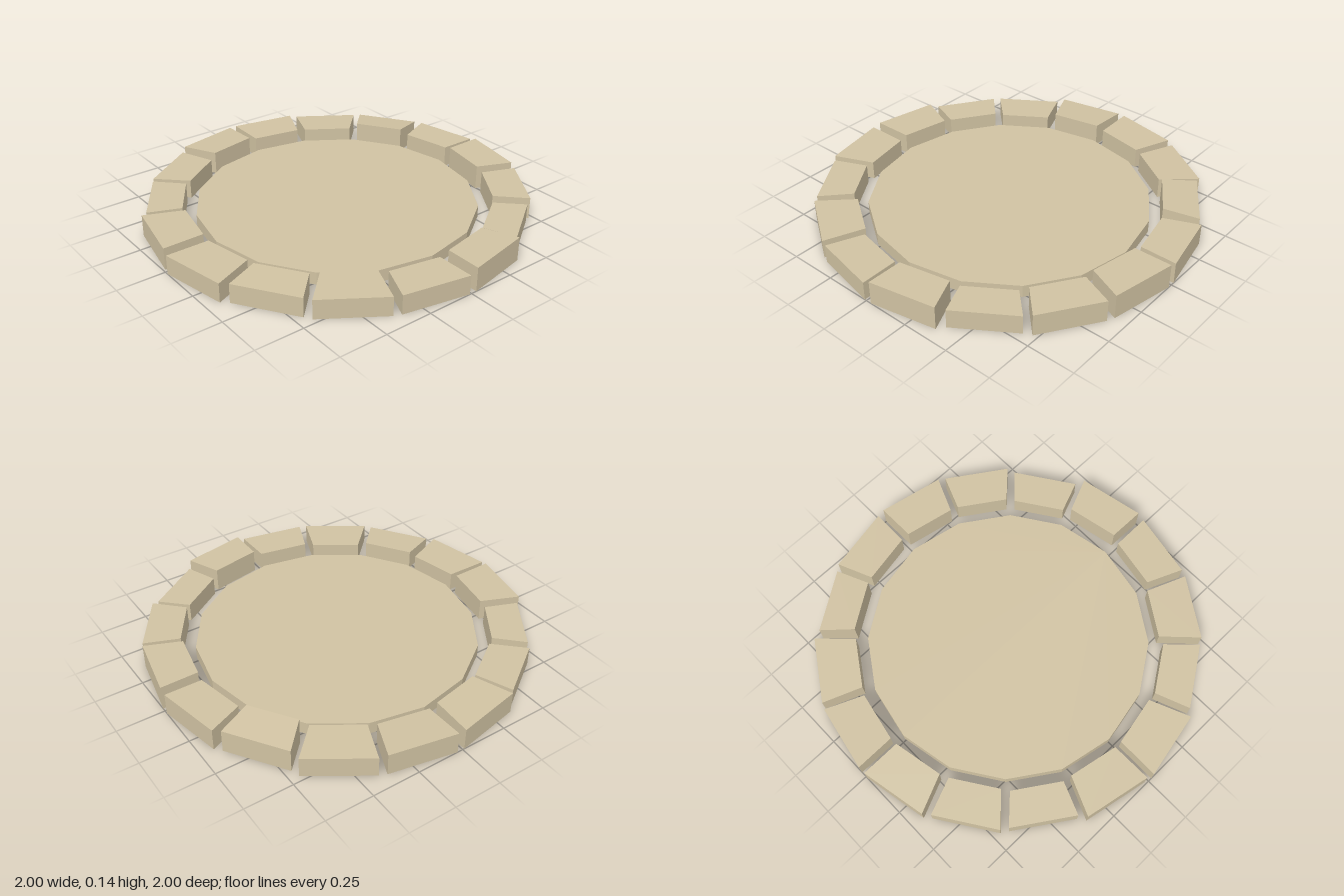
import * as THREE from 'three';

// Stones counter-clockwise from the left side (+x) towards the back:
// [outer radius, inner radius, outer height, inner height]
const STONES = [
  [1.0, 0.81, 0.125, 0.125], [0.975, 0.8, 0.1, 0.1], [0.99, 0.8, 0.115, 0.115], [0.99, 0.79, 0.13, 0.13],
  [0.99, 0.795, 0.115, 0.115], [0.975, 0.79, 0.12, 0.14], [1.0, 0.785, 0.105, 0.11], [1.0, 0.79, 0.115, 0.11],
  [1.0, 0.79, 0.115, 0.125], [0.985, 0.785, 0.1, 0.1], [0.975, 0.795, 0.105, 0.105], [1.0, 0.785, 0.115, 0.115],
  [1.01, 0.785, 0.1, 0.1], [0.99, 0.8, 0.1, 0.105], [1.0, 0.78, 0.1, 0.1], [1.0, 0.8, 0.1, 0.1],
];
const CENTRE_Z = -0.01;

// Point on the ring; angle runs from +x towards -z
const polar = (r, a, y) => new THREE.Vector3(r * Math.cos(a), y, CENTRE_Z - r * Math.sin(a));

// Flat-faced shell, open underneath: a lid over the outline and walls down to y = 0
function shell(outline) {
  const pos = [];
  const tri = (...pts) => pts.forEach((p) => pos.push(p.x, p.y, p.z));
  const n = outline.length;
  for (let i = 1; i < n - 1; i++) tri(outline[0], outline[i], outline[i + 1]);
  for (let i = 0; i < n; i++) {
    const a = outline[i], b = outline[(i + 1) % n];
    const a0 = a.clone().setY(0), b0 = b.clone().setY(0);
    tri(a0, b0, b);
    tri(a0, b, a);
  }
  const geo = new THREE.BufferGeometry();
  geo.setAttribute('position', new THREE.Float32BufferAttribute(pos, 3));
  geo.computeVertexNormals();
  return geo;
}

export function createModel() {
  const model = new THREE.Group();
  model.name = 'stoneCircle';
  const stone = new THREE.MeshStandardMaterial({ color: 0xd0c2a2, side: THREE.DoubleSide, flatShading: true });
  stone.name = 'sandstone';
  const step = (Math.PI * 2) / STONES.length;

  // Central sixteen-sided slab
  const rim = STONES.map((_, i) => polar(0.73, i * step, 0.065));
  const slab = new THREE.Mesh(shell(rim), stone);
  slab.name = 'centreSlab';
  model.add(slab);

  // Ring of wedge stones, separated by parallel-sided gaps
  const ring = new THREE.Group();
  ring.name = 'stoneRing';
  STONES.forEach(([outer, inner, hOuter, hInner], i) => {
    const a = i * step, b = a + step;
    const go = Math.asin(0.02 / outer), gi = Math.asin(0.022 / inner);
    const mesh = new THREE.Mesh(shell([
      polar(outer, a + go, hOuter), polar(outer, b - go, hOuter),
      polar(inner, b - gi, hInner), polar(inner, a + gi, hInner),
    ]), stone);
    mesh.name = `ringStone${i + 1}`;
    ring.add(mesh);
  });
  model.add(ring);
  return model;
}
